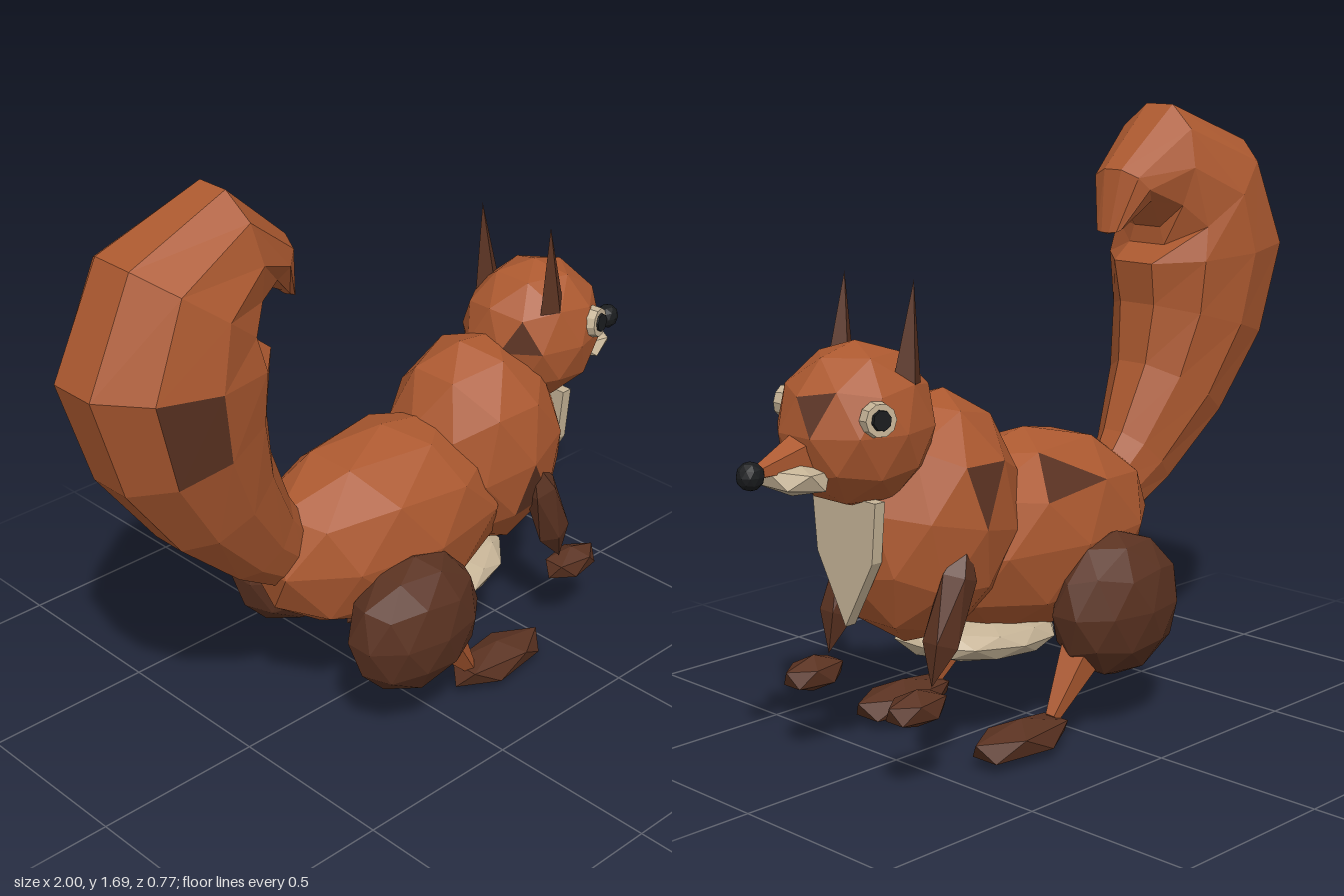
import * as THREE from 'three';

const mat = (name, color, extra = {}) => {
  const m = new THREE.MeshStandardMaterial({ color, flatShading: true, ...extra });
  m.name = name;
  return m;
};

export function createModel() {
  const fur = mat('rust fur', 0xac5930);
  const dark = mat('dark brown fur', 0x5a3221);
  const cream = mat('cream', 0xc6b497);
  const black = mat('black', 0x1a1c1e);
  const group = new THREE.Group();

  const add = (name, geometry, material) => {
    const mesh = new THREE.Mesh(geometry, material);
    mesh.name = name;
    group.add(mesh);
    return mesh;
  };

  // Faceted ellipsoid with a corner pointing up; tilt turns it about z
  const blob = (name, material, [x, y, z], [rx, ry, rz], detail = 1, tilt = 0) => {
    const g = new THREE.IcosahedronGeometry(1, detail);
    g.rotateX(-Math.acos(0.5257)).rotateY(Math.PI / 2);
    g.scale(rx, ry, rz).rotateZ(tilt).translate(x, y, z);
    return add(name, g, material);
  };

  // Give the faces nearest to the given points the dark fur colour
  const patch = (mesh, points) => {
    const p = mesh.geometry.attributes.position;
    const centres = [];
    for (let i = 0; i < p.count; i += 3) {
      const c = new THREE.Vector3();
      for (let k = 0; k < 3; k++) c.add(new THREE.Vector3().fromBufferAttribute(p, i + k));
      centres.push(c.divideScalar(3));
    }
    const picked = new Set(points.map((q) => {
      const v = new THREE.Vector3(...q);
      return centres.reduce((best, c, i) => (c.distanceTo(v) < centres[best].distanceTo(v) ? i : best), 0);
    }));
    centres.forEach((c, i) => mesh.geometry.addGroup(i * 3, 3, picked.has(i) ? 1 : 0));
    mesh.material = [mesh.material, dark];
  };

  // Tapered bar between two points
  const bar = (name, material, from, to, r0, r1, sides, flat = 1) => {
    const a = new THREE.Vector3(...from), b = new THREE.Vector3(...to);
    const dir = b.clone().sub(a);
    const g = new THREE.CylinderGeometry(r1, r0, dir.length(), sides);
    g.scale(1, 1, flat);
    const mesh = add(name, g, material);
    mesh.position.copy(a).add(b).multiplyScalar(0.5);
    mesh.quaternion.setFromUnitVectors(new THREE.Vector3(0, 1, 0), dir.normalize());
    return mesh;
  };

  // Torso and head
  const body = blob('body', fur, [0.01, 0.55, 0], [0.45, 0.29, 0.25]);
  patch(body, [[0.05, 0.72, -0.19]]);
  const chest = blob('chest', fur, [0.39, 0.66, 0], [0.27, 0.34, 0.24], 1, 0.22);
  patch(chest, [[0.37, 0.57, 0.23], [0.37, 0.78, -0.2]]);
  const head = blob('head', fur, [0.62, 0.94, 0], [0.215, 0.215, 0.195]);
  patch(head, [[0.44, 1.0, 0.1], [0.8, 1.0, -0.08]]);
  blob('belly', cream, [0.2, 0.295, 0], [0.26, 0.065, 0.19], 1, 0.09);

  // Chest bib: a thin shield facing forward
  const bib = new THREE.Shape([[-0.12, 0.76], [-0.105, 0.6], [0, 0.415], [0.105, 0.6], [0.12, 0.76]]
    .map(([x, y]) => new THREE.Vector2(x, y)));
  add('bib', new THREE.ExtrudeGeometry(bib, { depth: 0.033, bevelEnabled: false })
    .rotateY(Math.PI / 2).translate(0.635, 0, 0), cream);

  // Muzzle
  bar('snout', fur, [0.79, 0.895, 0], [0.96, 0.863, 0], 0.06, 0.012, 5);
  blob('jaw', cream, [0.83, 0.836, 0], [0.09, 0.046, 0.115], 0, 0.1);
  blob('nose', black, [0.962, 0.862, 0], [0.037, 0.037, 0.034], 1);

  // Paired parts
  for (const [side, s] of [['left', -1], ['right', 1]]) {
    bar(side + 'Ear', dark, [0.565, 1.01, s * 0.125], [0.537, 1.31, s * 0.13], 0.056, 0, 4, 0.65);
    bar(side + 'Eye', cream, [0.695, 0.985, s * 0.16], [0.703, 0.987, s * 0.188], 0.047, 0.042, 10);
    bar(side + 'Pupil', black, [0.7, 0.986, s * 0.17], [0.705, 0.988, s * 0.195], 0.03, 0.026, 8);
    blob(side + 'Thigh', dark, [-0.1, 0.362, s * 0.245], [0.22, 0.205, 0.138]);
    bar(side + 'Shin', fur, [0.02, 0.26, s * 0.23], [0.14, 0.09, s * 0.23], 0.068, 0.022, 5);
    blob(side + 'HindFoot', dark, [0.26, 0.062, s * 0.23], [0.19, 0.056, 0.083], 0);
    blob(side + 'Arm', dark, [0.49, 0.46, s * 0.2], [0.062, 0.2, 0.05], 0, 0.34);
    blob(side + 'ForePaw', dark, [0.61, 0.23, s * 0.2], [0.106, 0.05, 0.06], 0);
  }

  // Tail: rings given by outer edge (x, y), inner edge (x, y) and half width
  const rings = [
    [-0.36, 0.6, -0.36, 0.6, 0],
    [-0.41, 0.51, -0.3, 0.68, 0.08],
    [-0.54, 0.59, -0.36, 0.77, 0.11],
    [-0.74, 0.77, -0.44, 0.96, 0.165],
    [-0.91, 1.0, -0.46, 1.13, 0.205],
    [-1.0, 1.29, -0.44, 1.25, 0.225],
    [-0.86, 1.58, -0.5, 1.3, 0.21],
    [-0.55, 1.695, -0.5, 1.35, 0.155],
    [-0.35, 1.52, -0.44, 1.41, 0.1],
    [-0.32, 1.345, -0.35, 1.36, 0.045],
    [-0.33, 1.34, -0.33, 1.34, 0],
  ];
  const N = 10;
  const point = (i, j) => {
    const [ox, oy, ix, iy, w] = rings[i];
    const a = ((j + 0.5) * 2 * Math.PI) / N;
    const c = (Math.cos(a) / Math.cos(Math.PI / N)) / 2;
    return [(ox + ix) / 2 + (ox - ix) * c, (oy + iy) / 2 + (oy - iy) * c, w * Math.sin(a)];
  };
  const verts = [];
  const tail = new THREE.BufferGeometry();
  for (let i = 0; i < rings.length - 1; i++) {
    for (let j = 0; j < N; j++) {
      const a = point(i, j), b = point(i, j + 1), c = point(i + 1, j + 1), d = point(i + 1, j);
      // One dark patch on the side of the brush
      tail.addGroup(verts.length / 3, 6, i === 4 && j === 1 ? 1 : 0);
      verts.push(...a, ...b, ...c, ...a, ...c, ...d);
    }
  }
  tail.setAttribute('position', new THREE.Float32BufferAttribute(verts, 3));
  tail.computeVertexNormals();
  add('tail', tail, [fur, dark]);

  return group;
}
